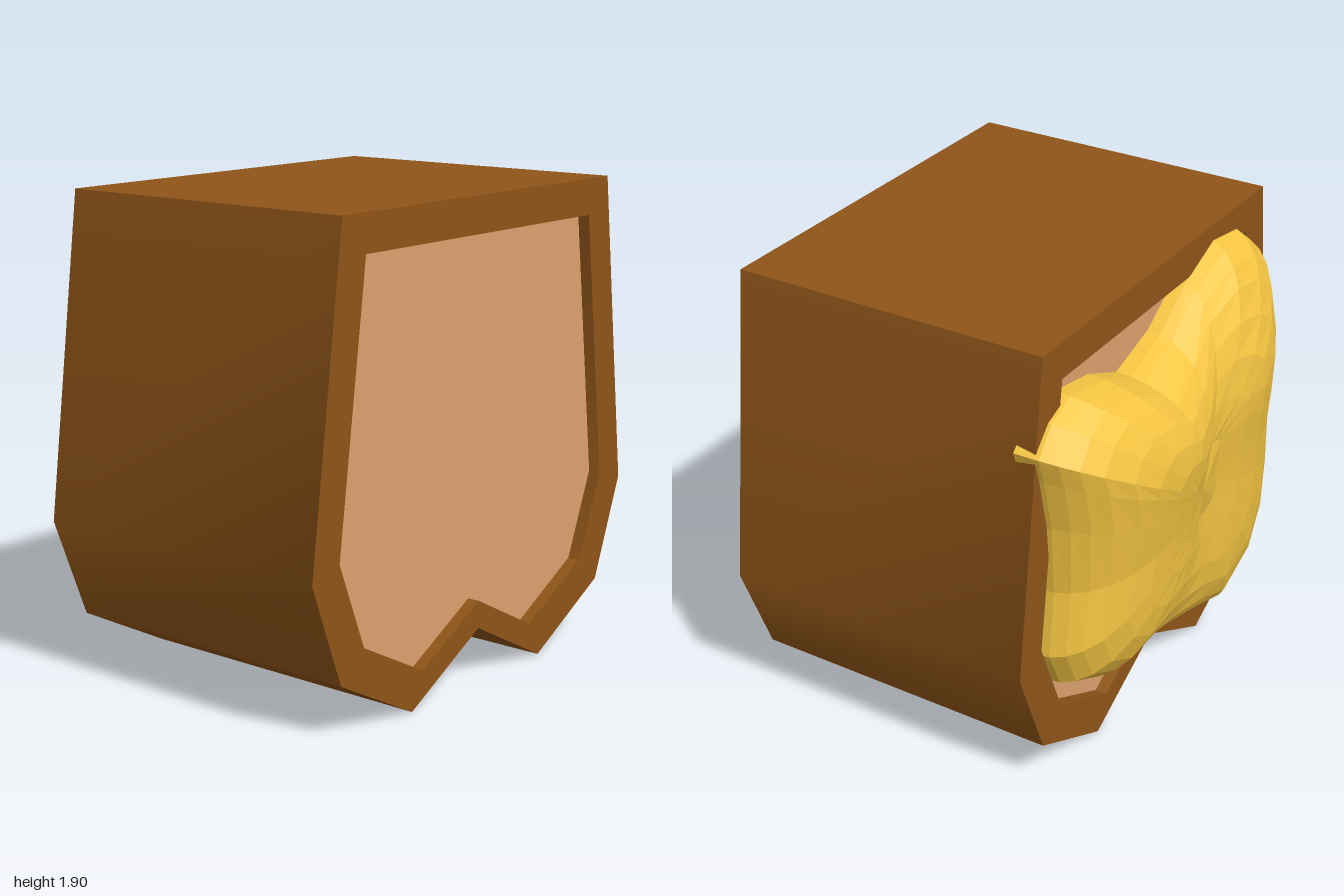
import * as THREE from 'three';
import { toCreasedNormals } from 'three/addons/utils/BufferGeometryUtils.js';

// Right half of an outline, mirrored to the left
function mirrored(half) {
  const left = half.filter(([x]) => x > 0).map(([x, y]) => [-x, y]).reverse();
  return [...half, ...left].map(([x, y]) => new THREE.Vector2(x, y));
}

function slab(shape, z0, z1) {
  const g = new THREE.ExtrudeGeometry(shape, { depth: z1 - z0, bevelEnabled: false });
  g.translate(0, 0, z0);
  return toCreasedNormals(g, 0.6);
}

function part(name, geometry, color, flatShading = false) {
  const mesh = new THREE.Mesh(geometry, new THREE.MeshStandardMaterial({ color, flatShading }));
  mesh.name = name;
  return mesh;
}

// Soft lumpy spread: concentric rings of a wavy outline, domed towards the back
function spreadGeometry() {
  const outline = [
    [0.905, 1.53], [0.81, 1.63], [0.68, 1.68], [0.45, 1.64], [0.24, 1.55], [0.0, 1.62],
    [-0.2, 1.75], [-0.42, 1.84], [-0.62, 1.81], [-0.74, 1.72], [-0.77, 1.5], [-0.76, 1.28],
    [-0.79, 1.0], [-0.83, 0.7], [-0.81, 0.45], [-0.7, 0.25], [-0.45, 0.13], [-0.25, 0.18],
    [0.05, 0.27], [0.3, 0.35], [0.55, 0.35], [0.74, 0.45], [0.82, 0.62], [0.79, 0.9],
    [0.82, 1.2], [0.87, 1.42],
  ];
  const cx = 0.02, cy = 1.0, n = outline.length;
  const height = (s, x, y) => {
    const groove = 1 - 0.2 * Math.exp(-(((x + 0.08) / 0.2) ** 2));
    const swell = 0.84 + 0.16 * Math.exp(-(((y - 1.3) / 0.3) ** 2));
    const side = x < 0 ? 0.93 : 1;
    return 0.36 * Math.sqrt(1 - s ** 4) * groove * swell * side;
  };
  const rings = [[0.9, -0.37], [1, -0.42], [0.99], [0.96], [0.91], [0.83], [0.7], [0.55], [0.38], [0.2], [0]];
  const pos = [], index = [];
  rings.forEach(([s, z], r) => {
    outline.forEach(([ox, oy], i) => {
      const x = cx + (ox - cx) * s, y = cy + (oy - cy) * s;
      pos.push(x, y, z ?? -0.45 - height(s, x, y));
      if (r === rings.length - 1) return;
      const a = r * n + i, b = r * n + (i + 1) % n;
      index.push(a, a + n, b, b, a + n, b + n);
    });
  });
  const g = new THREE.BufferGeometry();
  g.setAttribute('position', new THREE.Float32BufferAttribute(pos, 3));
  g.setIndex(index);
  g.computeVertexNormals();
  return g;
}

export function createModel() {
  const group = new THREE.Group();
  group.name = 'breadSlice';

  const outer = mirrored([[0, 0.22], [0.42, 0], [0.84, 0.22], [1, 0.63], [0.84, 1.9]]);
  const inner = mirrored([[0, 0.33], [0.355, 0.145], [0.71, 0.33], [0.85, 0.675], [0.71, 1.755]]);

  // Crust frame around the loaf
  const crust = new THREE.Shape(outer);
  crust.holes.push(new THREE.Path(inner));
  group.add(part('crust', slab(crust, -0.5, 0.8), 0x8f5518));

  // Crumb, set slightly back inside the crust on both faces
  group.add(part('crumb', slab(new THREE.Shape(inner), -0.45, 0.75), 0xdea26e));

  // Yellow spread on the back
  group.add(part('spread', spreadGeometry(), 0xf4c542, true));
  return group;
}
